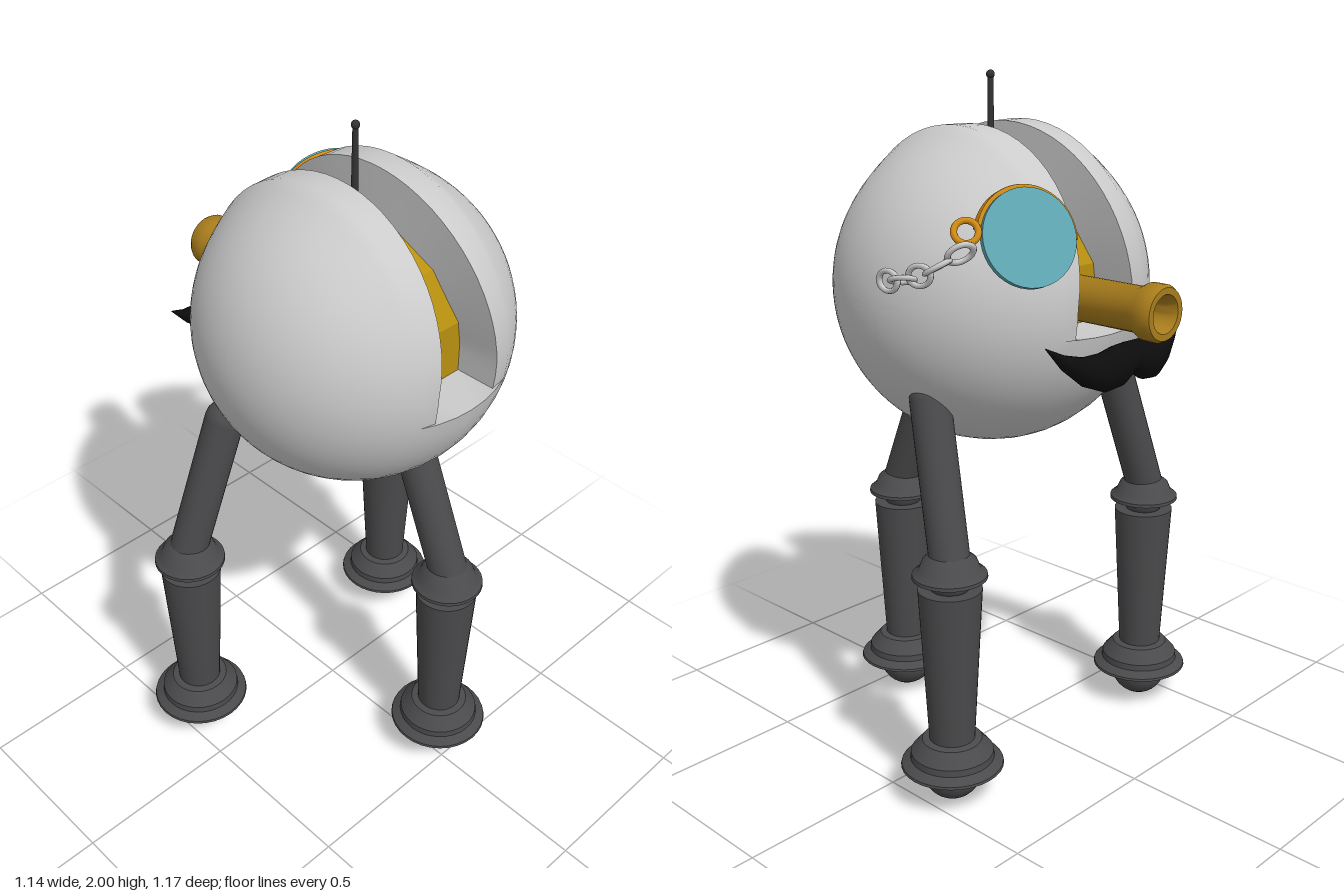
import * as THREE from 'three';
import { toCreasedNormals } from 'three/addons/utils/BufferGeometryUtils.js';

const V = (x, y, z) => new THREE.Vector3(x, y, z);
const mat = (color, extra = {}) => new THREE.MeshStandardMaterial({ color, ...extra });
const grey = mat(0xcccccc);
const shell = mat(0xcccccc, { side: THREE.DoubleSide });
const dark = mat(0x4a4a4c);
const capDark = mat(0x333333);
const black = mat(0x0c0c0c);
const gold = mat(0xb8900f, { flatShading: true });
const brass = mat(0xa87c1c);
const amber = mat(0xd08a14);
const teal = mat(0x5fa9b5);

const CENTER = V(0.045, 1.412, 0.033);
const R = 0.45;

function add(parent, name, geo, material, pos = V(0, 0, 0)) {
  const m = new THREE.Mesh(geo, material);
  m.name = name;
  m.position.copy(pos);
  parent.add(m);
  return m;
}

function lathe(points, seg = 32) {
  return toCreasedNormals(new THREE.LatheGeometry(points.map(p => new THREE.Vector2(...p)), seg), 0.6);
}

// Joins equal-length rows of points into one surface
function loft(rows, flip = false) {
  const n = rows[0].length, index = [];
  for (let i = 0; i < rows.length - 1; i++) {
    for (let j = 0; j < n - 1; j++) {
      const a = i * n + j, b = a + n, c = a + 1, d = b + 1;
      index.push(...(flip ? [a, c, b, c, d, b] : [a, b, c, c, b, d]));
    }
  }
  const g = new THREE.BufferGeometry().setFromPoints(rows.flat());
  g.setIndex(index);
  return toCreasedNormals(g, 0.7);
}

// Half of the ball, swept around the x axis; side = 1 or -1
function bodyHalf(side) {
  const end = Math.asin(0.08 / R), N = 16;
  const profile = (phi, slotted, floor) => {
    const s = Math.max(0, Math.sin(phi));
    const start = THREE.MathUtils.lerp(0.165, 0.14, s);    // where the ball surface ends
    const wall = THREE.MathUtils.lerp(0.113, 0.062, s);    // half width of the slot
    const pts = [];
    for (let i = 0; i <= N; i++) {
      const t = (i / N) * Math.acos(start / R);
      const lift = slotted ? 0.022 * s * s * (i / N) ** 8 : 0;
      pts.push([R * Math.cos(t), R * Math.sin(t) + lift]);
    }
    const ball = x => [x, Math.sqrt(R * R - x * x)];
    if (slotted) pts.push([wall, THREE.MathUtils.lerp(0.425, 0.448, s)], [wall, 0.27], [0, 0.27]);
    else pts.push(ball(wall), ball(0.055), ball(0));
    return pts.map(([x, r], i) =>
      V(side * x, floor && i > N ? -0.08 : r * Math.sin(phi), r * Math.cos(phi)));
  };
  const rows = [];
  const upper = 36, lower = 28;
  for (let i = 0; i <= upper; i++) {
    const phi = -end + (i / upper) * (Math.PI + 2 * end);
    rows.push(profile(phi, true, i === 0 || i === upper));
  }
  for (let i = 0; i <= lower; i++) {
    rows.push(profile(Math.PI + end + (i / lower) * (Math.PI - 2 * end), false, false));
  }
  rows.push(rows[0]);
  return loft(rows, side < 0);
}

// Leg with ball foot, tapered shin, collar and slanted thigh
function leg(parent, name, foot, hip) {
  const g = new THREE.Group();
  g.name = name;
  parent.add(g);
  add(g, 'footBall', new THREE.SphereGeometry(0.087, 28, 18), dark, V(foot.x, 0.087, foot.z));
  add(g, 'footFlange', lathe([[0, 0.105], [0.147, 0.105], [0.145, 0.112], [0.12, 0.128], [0.118, 0.147],
    [0.085, 0.185], [0.06, 0.19]]), dark, V(foot.x, 0, foot.z));
  add(g, 'shin', lathe([[0, 0.17], [0.064, 0.17], [0.09, 0.645], [0, 0.645]]), dark, V(foot.x, 0, foot.z));
  add(g, 'kneeBall', new THREE.SphereGeometry(0.064, 24, 16), dark, V(foot.x, 0.68, foot.z));
  add(g, 'kneeCollar', lathe([[0, 0.68], [0.105, 0.68], [0.104, 0.69], [0.085, 0.705], [0.075, 0.73],
    [0.052, 0.748], [0, 0.75]]), dark, V(foot.x, 0, foot.z));
  const knee = V(foot.x, 0.73, foot.z), dir = hip.clone().sub(knee);
  const thigh = add(g, 'thigh', new THREE.CapsuleGeometry(0.057, dir.length(), 8, 24), dark,
    knee.clone().add(hip).multiplyScalar(0.5));
  thigh.quaternion.setFromUnitVectors(V(0, 1, 0), dir.normalize());
}

// Curled moustache from elliptical sections
function moustache() {
  const sections = [ // offset, height, depth, half height, half depth
    [0, 1.285, -0.475, 0.04, 0.042], [0.05, 1.268, -0.475, 0.056, 0.045], [0.1, 1.258, -0.468, 0.053, 0.043],
    [0.16, 1.268, -0.455, 0.04, 0.033], [0.22, 1.3, -0.44, 0.022, 0.02], [0.28, 1.348, -0.428, 0.001, 0.001]];
  const all = [...sections.slice(1).reverse().map(([x, ...s]) => [-x, ...s]), ...sections];
  return loft(all.map(([x, y, z, h, d]) => Array.from({ length: 19 }, (_, k) => {
    const a = (k / 18) * Math.PI * 2;
    return V(CENTER.x + x, y + h * Math.sin(a), z + d * Math.cos(a));
  })));
}

export function createModel() {
  const model = new THREE.Group();
  model.name = 'tripodRobot';

  // Split ball body and the faceted core inside its slot
  add(model, 'bodyLeft', bodyHalf(1), shell, CENTER);
  add(model, 'bodyRight', bodyHalf(-1), shell, CENTER);
  const core = new THREE.CylinderGeometry(0.305, 0.305, 0.224, 12);
  core.rotateY(Math.PI / 12).rotateZ(Math.PI / 2);
  add(model, 'core', core, gold, CENTER);

  // Antenna
  add(model, 'antennaBase', lathe([[0, 1.69], [0.068, 1.69], [0.068, 1.715], [0.035, 1.728], [0.03, 1.74],
    [0.012, 1.75], [0, 1.755]]), capDark, V(CENTER.x, 0, CENTER.z));
  add(model, 'antennaRod', new THREE.CylinderGeometry(0.008, 0.011, 0.25, 12), capDark, V(CENTER.x, 1.865, CENTER.z));
  add(model, 'antennaTip', new THREE.SphereGeometry(0.012, 14, 10), capDark, V(CENTER.x, 1.988, CENTER.z));

  // Flared snout with open bore
  const snout = lathe([[0, 0.2], [0.062, 0.2], [0.062, 0.51], [0.077, 0.54], [0.077, 0.578], [0.07, 0.59],
    [0.052, 0.59], [0.04, 0.56], [0.04, 0.46], [0, 0.46]]);
  snout.rotateX(-Math.PI / 2);
  add(model, 'snout', snout, brass, V(CENTER.x, 1.415, 0));
  add(model, 'moustache', moustache(), black);

  // Eyeglass: lens, half rim and hanging loop
  const eyeglass = new THREE.Group();
  eyeglass.name = 'eyeglass';
  eyeglass.position.set(0.28, 1.61, -0.33);
  eyeglass.lookAt(eyeglass.position.clone().add(V(0.36, 0.34, -0.87)));
  model.add(eyeglass);
  const lens = new THREE.CylinderGeometry(0.129, 0.129, 0.018, 40);
  lens.rotateX(Math.PI / 2);
  add(eyeglass, 'lens', lens, teal);
  const rimShape = new THREE.Shape();
  rimShape.absarc(0, 0, 0.136, 0.1, 3.0, false);
  rimShape.absarc(0, 0, 0.11, 3.0, 0.1, true);
  const rim = new THREE.ExtrudeGeometry(rimShape, { depth: 0.022, bevelSize: 0.004, bevelThickness: 0.004,
    bevelSegments: 2, curveSegments: 28 });
  rim.rotateZ(Math.PI * 0.85);
  rim.translate(0, 0, -0.03);
  // Rim covers the upper and outer edge
  rim.rotateZ(-Math.PI * 0.9);
  add(eyeglass, 'rim', rim, amber);
  const loop = add(model, 'rimLoop', new THREE.TorusGeometry(0.031, 0.009, 10, 24), amber, V(0.428, 1.635, -0.255));
  loop.lookAt(V(0.428 + 0.5, 1.635 + 0.5, -0.255 - 0.6));

  // Chain links, alternately turned about the run of the chain
  const path = [V(0.455, 1.585, -0.262), V(0.49, 1.55, -0.215), V(0.5, 1.522, -0.16), V(0.508, 1.505, -0.105),
    V(0.508, 1.495, -0.05)];
  const curve = new THREE.CatmullRomCurve3(path);
  path.forEach((p, i) => {
    const link = new THREE.TorusGeometry(0.027, 0.0075, 8, 20);
    link.scale(1, 1.3, 1);
    link.rotateY(i % 2 ? 0.4 : 1.5);
    const m = add(model, 'chainLink', link, grey, p);
    m.quaternion.setFromUnitVectors(V(0, 1, 0), curve.getTangent(i / (path.length - 1)));
  });

  leg(model, 'frontLeg', V(0.05, 0, 0.43), V(0.05, 1.065, 0.29));
  leg(model, 'leftLeg', V(0.42, 0, -0.17), V(0.37, 1.15, -0.05));
  leg(model, 'rightLeg', V(-0.43, 0, -0.17), V(-0.295, 1.15, -0.135));
  return model;
}
